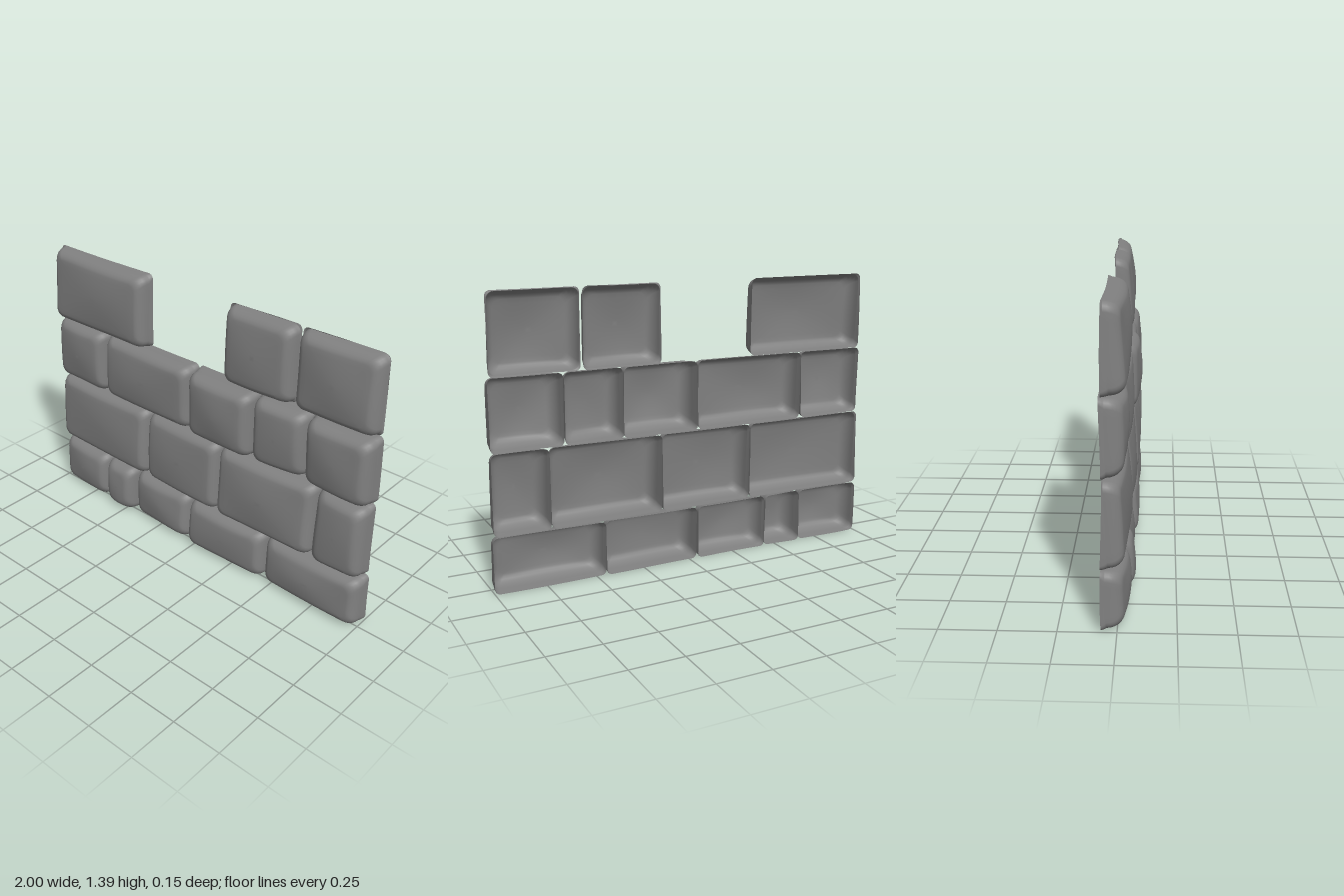
import * as THREE from 'three';

const ROUND = 0.065; // depth of the rounded front edge

// Each course: bottom, top, back depth, then stones as
// [left, right, front depth, tilt along x, tilt along y]
const COURSES = [
  { y0: 0.005, y1: 0.273, back: -0.067, stones: [
    [-1, -0.648, 0.028, 0.012, -0.004], [-0.645, -0.438, 0.046, 0.002, -0.006],
    [-0.435, -0.047, 0.03, 0.006, -0.006], [-0.04, 0.448, 0.046, -0.004, -0.006],
    [0.45, 1, 0.038, 0.004, -0.006]] },
  { y0: 0.279, y1: 0.665, back: -0.067, stones: [
    [-1, -0.342, 0.026, 0.008, -0.01], [-0.34, 0.148, 0.036, 0.008, -0.01],
    [0.15, 0.718, 0.042, -0.006, -0.012], [0.72, 0.993, 0.038, 0.002, -0.01]] },
  { y0: 0.669, y1: 1.01, back: -0.07, stones: [
    [-0.99, -0.638, 0.024, 0.006, 0], [-0.63, -0.046, 0.03, 0.004, -0.004],
    [-0.04, 0.347, 0.053, 0.003, 0], [0.35, 0.642, 0.03, -0.01, 0],
    [0.645, 0.995, 0.037, 0.004, 0]] },
  { y0: 1.011, y1: 1.393, back: -0.062, stones: [
    [-0.99, -0.343, 0.026, 0.004, -0.01], [0.15, 0.543, 0.01, -0.002, -0.01],
    [0.555, 0.988, 0.003, -0.002, -0.01]] },
];

// Counter-clockwise rounded rectangle with subdivided sides
function outline(a, b, r) {
  const corners = [[1, 1], [-1, 1], [-1, -1], [1, -1]];
  const arcPoint = (k, t) => new THREE.Vector2(
    corners[k][0] * (a - r) + r * Math.cos(t), corners[k][1] * (b - r) + r * Math.sin(t));
  const pts = [];
  for (let k = 0; k < 4; k++) {
    for (let i = 0; i <= 5; i++) pts.push(arcPoint(k, (k + i / 5) * Math.PI / 2));
    // straight run to the next corner
    const start = pts[pts.length - 1];
    const end = arcPoint((k + 1) % 4, (k + 1) * Math.PI / 2);
    for (let i = 1; i < 8; i++) pts.push(start.clone().lerp(end, i / 8));
  }
  return pts;
}

// Open-backed stone shell: wavy back rim, rounded front edge, gently uneven face
function stoneGeometry(a, b, back, front, tiltX, tiltY, seed) {
  // rings: inset, height (0 back, 1 shoulder, 2 face), corner radius, scale of the face
  const rings = [[0, 0, 0.025, 1], [0.001, 0.4, 0.029, 1], [0.003, 0.75, 0.033, 1]];
  for (let i = 0; i <= 6; i++) {
    const t = (i / 6) * Math.PI / 2;
    rings.push([0.004 + 0.044 * (1 - Math.cos(t)), 1 + Math.sin(t), 0.038, 1]);
  }
  for (const s of [0.85, 0.65, 0.45, 0.25, 0.1, 0]) rings.push([0.048, 2, 0.038, s]);

  const pos = [], index = [];
  let n = 0;
  rings.forEach(([inset, h, radius, s]) => {
    const pts = outline(a - inset, b - inset, radius);
    n = pts.length;
    for (const p of pts) {
      const x = p.x * s, y = p.y * s, u = x / a, v = y / b;
      const bulge = 0.02 * (1 - u * u) * (1 - v * v);
      const bumps = 0.004 * Math.sin(2.6 * u + seed) * Math.cos(2.2 * v + seed * 1.7);
      const shoulder = front + tiltX * u + tiltY * v + bulge + bumps - ROUND;
      const rim = back + 0.005 * Math.sin(1.8 * u + 1.2 * v + seed);
      const z = h <= 1 ? rim + (shoulder - rim) * h : shoulder + ROUND * (h - 1);
      pos.push(x, y, z);
    }
  });
  for (let r = 0; r < rings.length - 1; r++) {
    for (let i = 0; i < n; i++) {
      const j = (i + 1) % n;
      const p = r * n + i, q = r * n + j;
      index.push(p, q, q + n);
      if (r < rings.length - 2) index.push(p, q + n, p + n);
    }
  }
  const g = new THREE.BufferGeometry();
  g.setAttribute('position', new THREE.Float32BufferAttribute(pos, 3));
  g.setIndex(index);
  g.computeVertexNormals();
  // all centre vertices share the same point, so give them one forward normal
  const normal = g.attributes.normal;
  for (let i = (rings.length - 1) * n; i < rings.length * n; i++) normal.setXYZ(i, 0, 0, 1);
  return g;
}

export function createModel() {
  const wall = new THREE.Group();
  wall.name = 'stoneWall';
  const material = new THREE.MeshStandardMaterial({ color: 0x808080, side: THREE.DoubleSide });
  COURSES.forEach(({ y0, y1, back, stones }, row) => {
    const course = new THREE.Group();
    course.name = `course${row + 1}`;
    stones.forEach(([x0, x1, front, tiltX, tiltY], i) => {
      const seed = row * 2.3 + i * 1.4;
      const geometry = stoneGeometry((x1 - x0) / 2, (y1 - y0) / 2, back, front, tiltX, tiltY, seed);
      const stone = new THREE.Mesh(geometry, material);
      stone.name = `stone${i + 1}`;
      stone.position.set((x0 + x1) / 2, (y0 + y1) / 2, 0);
      course.add(stone);
    });
    wall.add(course);
  });
  return wall;
}
